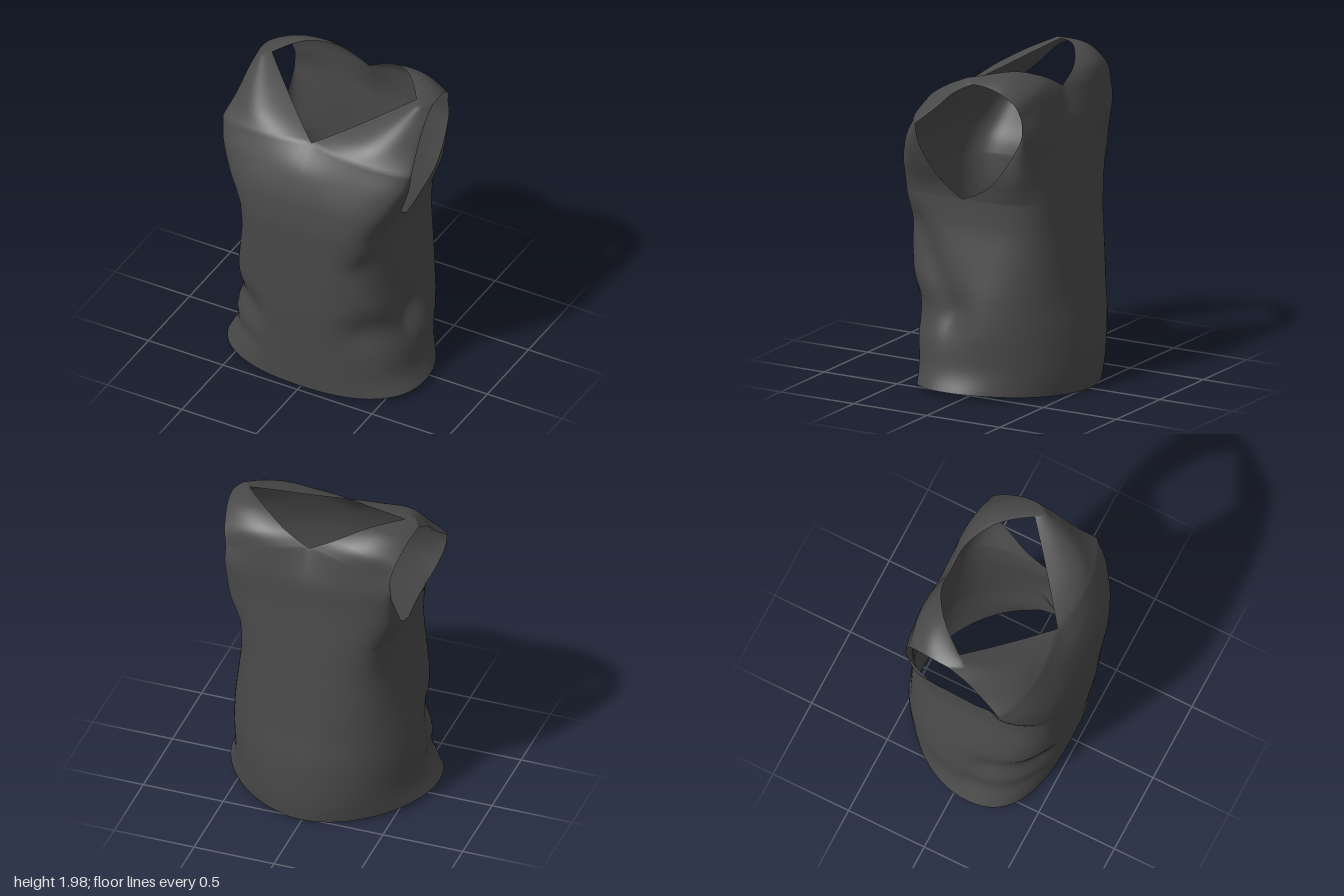
import * as THREE from 'three';
import { mergeVertices } from 'three/addons/utils/BufferGeometryUtils.js';

// Each row runs from the centre line (or neckline) to the side seam (or armhole):
// [inner x,y,z, outer x,y,z, roundness, bulge in z]
const bodyFront = [
  [0, 0.01, 0.46, 0.64, 0.05, 0.08, 2.6, 0],
  [0, 0.16, 0.475, 0.59, 0.18, 0.06, 2.6, 0],
  [0, 0.4, 0.5, 0.585, 0.4, 0.04, 2.6, 0],
  [0, 0.6, 0.52, 0.56, 0.6, 0.03, 2.8, 0],
  [0, 0.8, 0.53, 0.52, 0.8, 0.04, 3.2, 0],
  [0, 1.02, 0.54, 0.48, 1.02, 0.05, 3.9, 0],
  [0, 1.22, 0.545, 0.475, 1.2, 0.06, 4.6, 0],
];
const bodyBack = [
  [0.01, -0.52, 1.8], [0.16, -0.535, 2], [0.4, -0.53, 2.15], [0.6, -0.505, 2.4],
  [0.8, -0.485, 2.9], [1.02, -0.465, 3.6], [1.22, -0.45, 4.4],
].map(([y, z, p], i) => [0, y, z, ...bodyFront[i].slice(3, 6), p, 0]);

// Chest and upper back, between the armpit and the neck opening
const chestFront = [
  bodyFront[6],
  [0, 1.33, 0.54, 0.495, 1.28, 0.16, 4.4, 0],
  [0, 1.45, 0.52, 0.552, 1.4, 0.23, 3.8, 0],
  [0, 1.6, 0.465, 0.61, 1.55, 0.28, 3, 0],
  [0, 1.73, 0.36, 0.632, 1.67, 0.29, 2.2, 0.045],
];
const chestBack = [
  bodyBack[6],
  [0, 1.35, -0.44, 0.49, 1.27, -0.09, 4.2, 0],
  [0, 1.48, -0.43, 0.52, 1.4, -0.23, 3.6, 0],
  [0, 1.64, -0.415, 0.52, 1.62, -0.365, 2.6, -0.01],
  [0, 1.84, -0.345, 0.515, 1.75, -0.37, 2, -0.05],
];

// Shoulder straps, from the neck opening to the shoulder seam
const shoulderSeam = [0.485, 1.965, -0.04, 0.58, 1.945, -0.07, 2, 0.05];
const strapFront = [
  chestFront[4],
  [0.17, 1.805, 0.225, 0.605, 1.77, 0.17, 2, 0.095],
  [0.34, 1.89, 0.085, 0.59, 1.88, 0.05, 2, 0.08],
  shoulderSeam,
];
const strapBack = [
  chestBack[4],
  [0.15, 1.92, -0.33, 0.535, 1.84, -0.335, 2, -0.035],
  [0.3, 1.98, -0.245, 0.56, 1.91, -0.24, 2, -0.02],
  [0.4, 1.985, -0.15, 0.575, 1.94, -0.15, 2, 0],
  shoulderSeam,
];

// Cloth folds on the sides: [side, z0, y0, z1, y1, width, depth inward]
const folds = [
  [1, 0.42, 0.98, 0.12, 0.55, 0.11, 0.045],
  [1, 0.4, 0.5, 0.15, 0.46, 0.13, 0.045],
  [-1, 0.45, 0.47, 0.2, 0.47, 0.13, 0.05],
  [-1, 0.4, 0.22, 0.1, 0.23, 0.07, 0.02],
];

// Smooth interpolation between rows at k in 0..1
function rowAt(rows, k) {
  const n = rows.length - 1, f = k * n, i = Math.min(Math.floor(f), n - 1), t = f - i;
  const [a, b, c, d] = [i - 1, i, i + 1, i + 2].map(j => rows[Math.max(0, Math.min(n, j))]);
  return b.map((q, j) => q + 0.5 * t * (c[j] - a[j] + t * (2 * a[j] - 5 * q + 4 * c[j] - d[j]
    + t * (3 * (q - c[j]) + d[j] - a[j]))));
}

// Point across a row, along a superellipse quarter
function pointAt([xi, yi, zi, xo, yo, zo, p, bulge], u, side) {
  const a = u * Math.PI / 2;
  const s = Math.pow(Math.sin(a), 2 / p), c = u === 1 ? 0 : Math.pow(Math.cos(a), 2 / p);
  let x = side * (xi + (xo - xi) * s);
  const y = yi + (yo - yi) * s * s;
  let z = zo + (zi - zo) * c + bulge * Math.sin(Math.PI * s);
  const gate = THREE.MathUtils.smoothstep(Math.abs(x), 0.15, 0.42);
  for (const [fs, z0, y0, z1, y1, w, depth] of folds) {
    if (fs !== side) continue;
    const dz = z1 - z0, dy = y1 - y0;
    const t = THREE.MathUtils.clamp(((z - z0) * dz + (y - y0) * dy) / (dz * dz + dy * dy), 0, 1);
    const d2 = (z - z0 - t * dz) ** 2 + (y - y0 - t * dy) ** 2;
    const push = gate * depth * Math.exp(-d2 / (w * w)), len = Math.hypot(x, z) || 1;
    x -= push * x / len;
    z -= push * z / len;
  }
  // slight lean of the upper garment
  return [x + 0.017 * THREE.MathUtils.smoothstep(y, 0.3, 1.2), y, z];
}

function addPatch(pos, index, rows, side, dir) {
  const nu = 28, nv = (rows.length - 1) * 5, base = pos.length / 3;
  for (let v = 0; v <= nv; v++) {
    const row = rowAt(rows, v / nv);
    for (let u = 0; u <= nu; u++) pos.push(...pointAt(row, u / nu, side));
  }
  for (let v = 0; v < nv; v++) for (let u = 0; u < nu; u++) {
    const a = base + v * (nu + 1) + u, b = a + 1, c = b + nu + 1, d = a + nu + 1;
    if (side * dir > 0) index.push(a, b, c, a, c, d);
    else index.push(a, c, b, a, d, c);
  }
}

export function createModel() {
  const group = new THREE.Group();
  group.name = 'sleevelessTop';
  const cloth = new THREE.MeshStandardMaterial({ color: 0x4a4a4a, side: THREE.DoubleSide });
  cloth.name = 'charcoal cloth';

  // Mirrored body, chest and strap panels, welded into one cloth surface
  const pos = [], index = [];
  for (const side of [1, -1]) {
    for (const rows of [bodyFront, chestFront, strapFront]) addPatch(pos, index, rows, side, 1);
    for (const rows of [bodyBack, chestBack, strapBack]) addPatch(pos, index, rows, side, -1);
  }
  let geometry = new THREE.BufferGeometry();
  geometry.setAttribute('position', new THREE.Float32BufferAttribute(pos, 3));
  geometry.setIndex(index);
  geometry = mergeVertices(geometry, 1e-4);
  geometry.computeVertexNormals();

  const top = new THREE.Mesh(geometry, cloth);
  top.name = 'vestCloth';
  group.add(top);
  return group;
}
